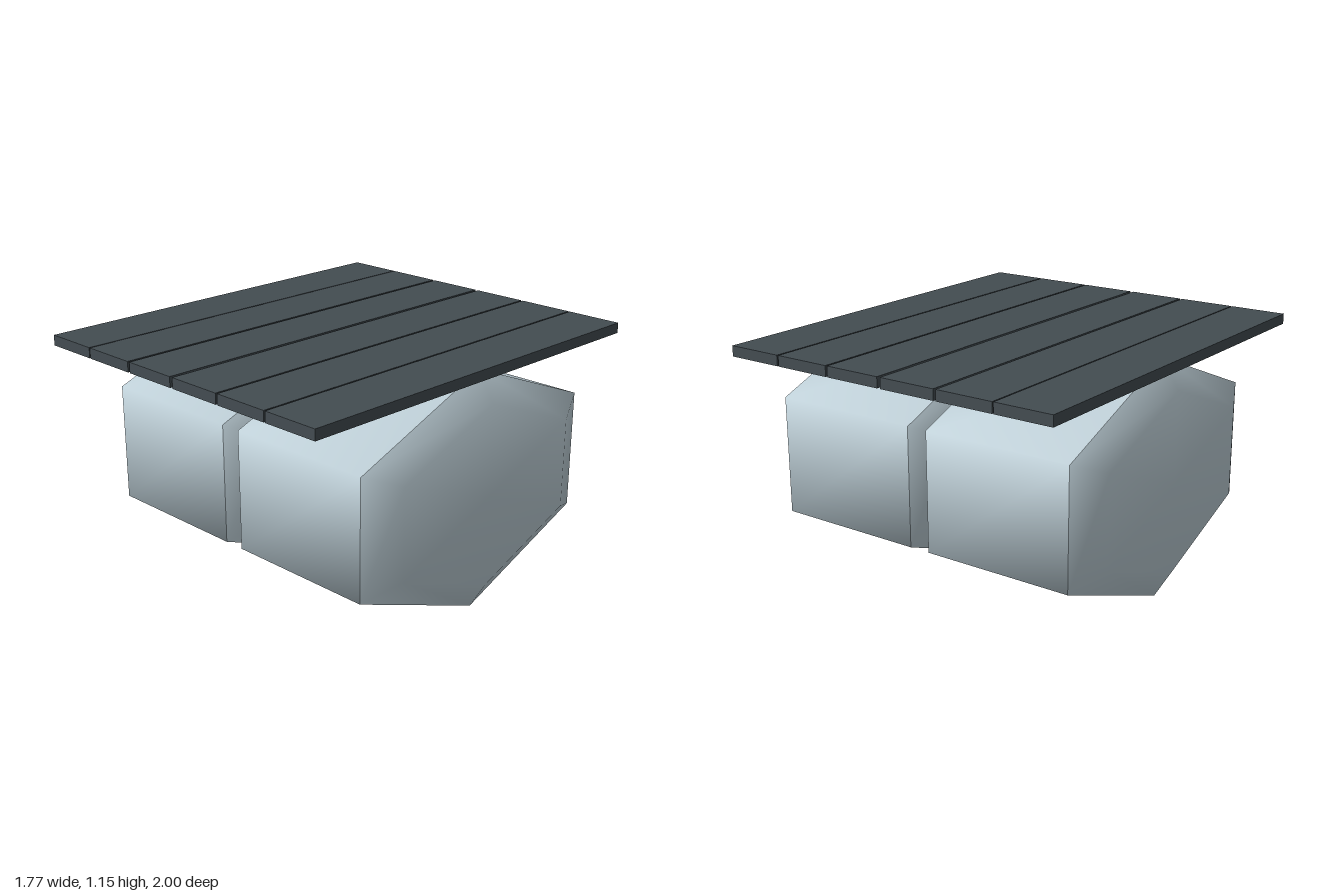
import * as THREE from 'three';

const barrelPaint = new THREE.MeshStandardMaterial({ color: 0xbccdd5 });
barrelPaint.name = 'pale blue grey';
const plankPaint = new THREE.MeshStandardMaterial({ color: 0x434c51 });
plankPaint.name = 'dark slate';

const SIDES = 6, CY = 0.573, CZ = -0.015, RY = 0.57, RZ = 0.837;

// Smooth hexagonal loft along x through [x, radius factor] stations
function hexLoft(stations) {
  const positions = [], index = [];
  for (const [x, k] of stations) {
    for (let i = 0; i < SIDES; i++) {
      const a = (i / SIDES) * Math.PI * 2;
      positions.push(x, CY + RY * k * Math.cos(a), CZ + RZ * k * Math.sin(a));
    }
  }
  for (let s = 0; s < stations.length - 1; s++) {
    for (let i = 0; i < SIDES; i++) {
      const j = (i + 1) % SIDES;
      const a0 = s * SIDES + i, b0 = s * SIDES + j;
      const a1 = a0 + SIDES, b1 = b0 + SIDES;
      if (stations[s][1] > 0) index.push(a0, b0, a1);
      if (stations[s + 1][1] > 0) index.push(b0, b1, a1);
      if (stations[s][1] === 0) index.push(); // centre fan needs one triangle only
    }
  }
  const geometry = new THREE.BufferGeometry();
  geometry.setAttribute('position', new THREE.Float32BufferAttribute(positions, 3));
  geometry.setIndex(index);
  geometry.computeVertexNormals();
  return geometry;
}

// Barrel: straight wall plus a bevelled cap at each end, creased at the rims
function makeBarrel(name, x0, x1) {
  const bevel = 0.083, rim = 0.76;
  const barrel = new THREE.Group();
  barrel.name = name;
  const parts = {
    wall: [[x0, 1], [x1, 1]],
    rightCap: [[x0 - bevel, 0], [x0 - bevel, rim], [x0, 1]],
    leftCap: [[x1, 1], [x1 + bevel, rim], [x1 + bevel, 0]],
  };
  for (const [part, stations] of Object.entries(parts)) {
    const mesh = new THREE.Mesh(hexLoft(stations), barrelPaint);
    mesh.name = part;
    barrel.add(mesh);
  }
  return barrel;
}

export function createModel() {
  const model = new THREE.Group();
  model.name = 'barrelTable';

  model.add(makeBarrel('rightBarrel', -0.788, -0.046));
  model.add(makeBarrel('leftBarrel', 0.056, 0.8));

  // Table top of six planks with narrow gaps
  const top = new THREE.Group();
  top.name = 'tableTop';
  const width = 0.279, plank = new THREE.BoxGeometry(width, 0.05, 2);
  [-0.885, -0.6, -0.308, -0.012, 0.277, 0.564].forEach((x, i) => {
    const mesh = new THREE.Mesh(plank, plankPaint);
    mesh.name = `plank${i + 1}`;
    mesh.position.set(x + width / 2, 1.13, 0);
    top.add(mesh);
  });
  model.add(top);
  return model;
}
